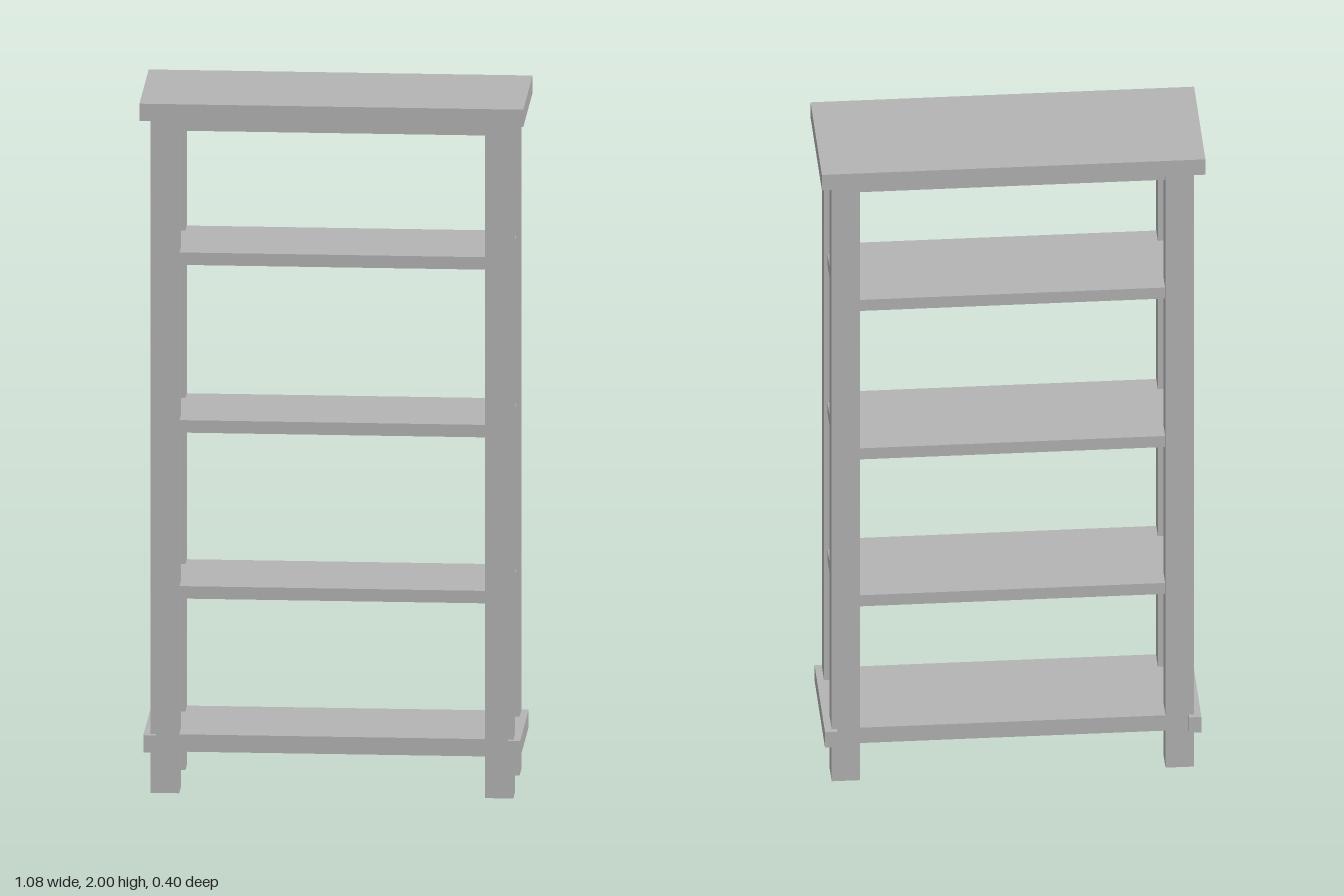
import * as THREE from 'three';

const grey = new THREE.MeshStandardMaterial({ color: 0xb3b3b3 });
grey.name = 'grey';

const POST = { x0: 0.43, x1: 0.51, z0: 0.1, z1: 0.17 };

function box(name, x0, x1, y0, y1, z0, z1) {
  const mesh = new THREE.Mesh(new THREE.BoxGeometry(x1 - x0, y1 - y0, z1 - z0), grey);
  mesh.position.set((x0 + x1) / 2, (y0 + y1) / 2, (z0 + z1) / 2);
  mesh.name = name;
  return mesh;
}

// Board with its corners notched around the four posts
function shelf(name, y0, y1, halfX, halfZ) {
  const { x0, z0 } = POST;
  const quarter = [[halfX, z0], [x0, z0], [x0, halfZ]];
  const mirrored = quarter.map(([x, z]) => [-x, z]).reverse();
  const front = [...quarter, ...mirrored];
  const back = front.map(([x, z]) => [-x, -z]);
  const shape = new THREE.Shape([...front, ...back].map(([x, z]) => new THREE.Vector2(x, z)));
  const geometry = new THREE.ExtrudeGeometry(shape, { depth: y1 - y0, bevelEnabled: false });
  geometry.rotateX(-Math.PI / 2);
  const mesh = new THREE.Mesh(geometry, grey);
  mesh.position.y = y0;
  mesh.name = name;
  return mesh;
}

export function createModel() {
  const model = new THREE.Group();
  model.name = 'shelfUnit';

  // Overhanging top
  model.add(box('topBoard', -0.54, 0.54, 1.95, 2, -0.2, 0.2));

  for (const [side, sx] of [['left', 1], ['right', -1]]) {
    // Corner posts
    for (const [end, sz] of [['Front', 1], ['Back', -1]]) {
      const post = box(side + end + 'Post', POST.x0, POST.x1, 0, 1.95, POST.z0, POST.z1);
      post.position.x *= sx;
      post.position.z *= sz;
      model.add(post);
    }
    // Rail across the outside of the feet
    const rail = box(side + 'Rail', 0.495, 0.53, 0.12, 0.17, -0.185, 0.185);
    rail.position.x *= sx;
    model.add(rail);
  }

  // Shelves between the posts
  model.add(shelf('bottomShelf', 0.12, 0.17, 0.5, 0.168));
  [0.56, 1.04, 1.525, 1.913].forEach((y, i) => {
    model.add(shelf('shelf' + (i + 1), y, y + 0.036, 0.5, 0.157));
  });

  return model;
}
